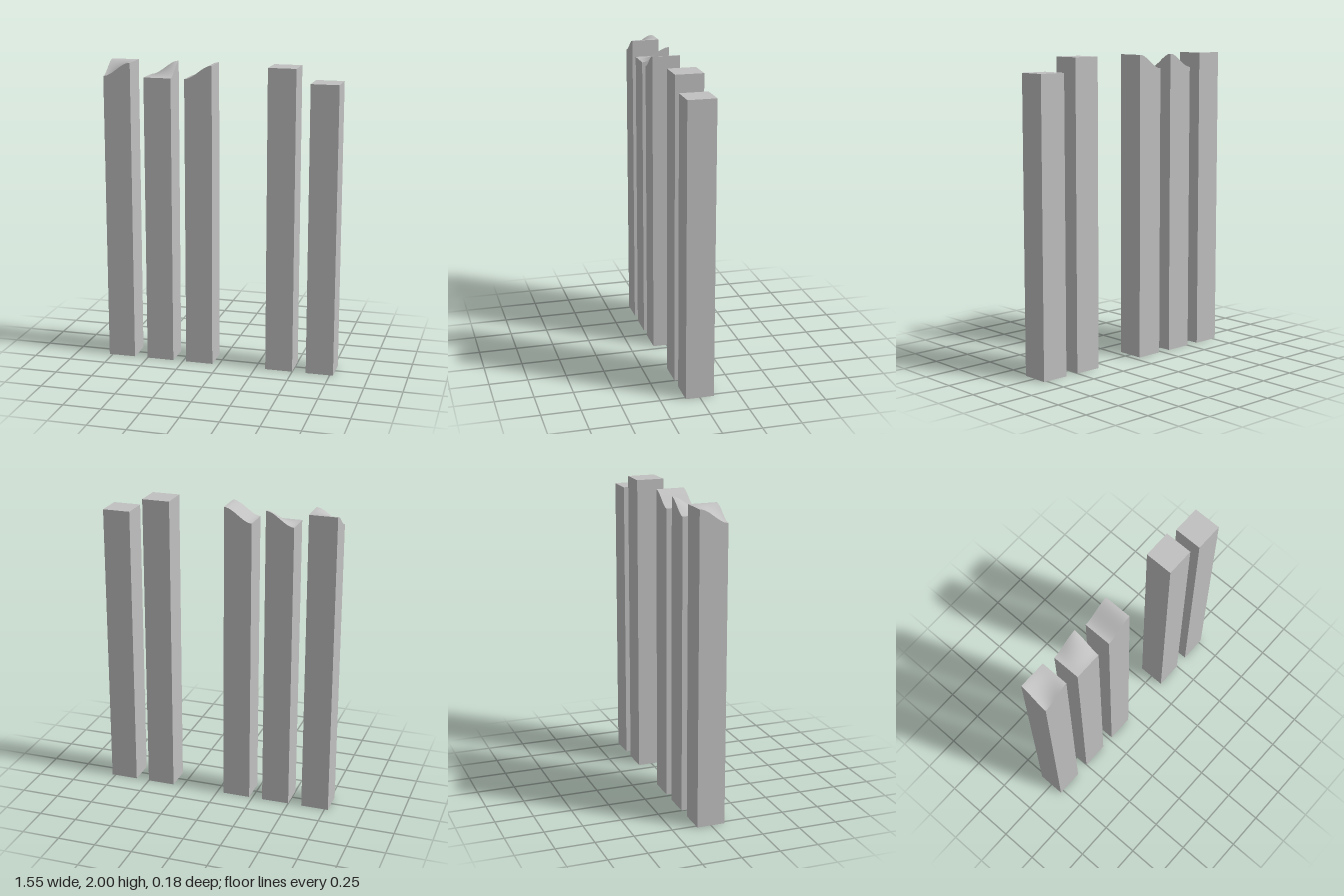
import * as THREE from 'three';

const UNIT = 2 / 11;        // pillar width
const LOW = 10.5 * UNIT;    // lower top level
const STEP = UNIT / 2;      // rise from the lower to the upper level
const SEGMENTS = 20;

const ease = (t) => t * t * (3 - 2 * t);

// Square pillar whose top follows rise(u, v): u runs left to right, v front to back, both eased 0..1
function pillar(name, x, rise, material) {
  const geometry = new THREE.BoxGeometry(UNIT, LOW, UNIT, SEGMENTS, 1, SEGMENTS);
  geometry.translate(0, LOW / 2, 0);
  const p = geometry.attributes.position;
  for (let i = 0; i < p.count; i++) {
    if (p.getY(i) < LOW / 2) continue;
    const u = ease(p.getX(i) / UNIT + 0.5);
    const v = ease(0.5 - p.getZ(i) / UNIT);
    p.setY(i, LOW + STEP * rise(u, v));
  }
  geometry.computeVertexNormals();
  const mesh = new THREE.Mesh(geometry, material);
  mesh.name = name;
  mesh.position.x = x;
  return mesh;
}

export function createModel() {
  const stone = new THREE.MeshStandardMaterial({ color: 0xc0c0c0 });
  stone.name = 'stone grey';

  const group = new THREE.Group();
  group.name = 'terrainPillars';
  const spacing = 1.5 * UNIT;

  // Slot along the row, and the shape of each top
  const pillars = [
    ['innerCornerPillar', -2.5, (u, v) => 1 - (1 - u) * (1 - v)],
    ['outerCornerPillar', -1.5, (u, v) => u * v],
    ['slopePillar', -0.5, (u) => u],
    ['highPillar', 1.5, () => 1],
    ['lowPillar', 2.5, () => 0],
  ];
  for (const [name, slot, rise] of pillars) {
    group.add(pillar(name, slot * spacing, rise, stone));
  }
  return group;
}
